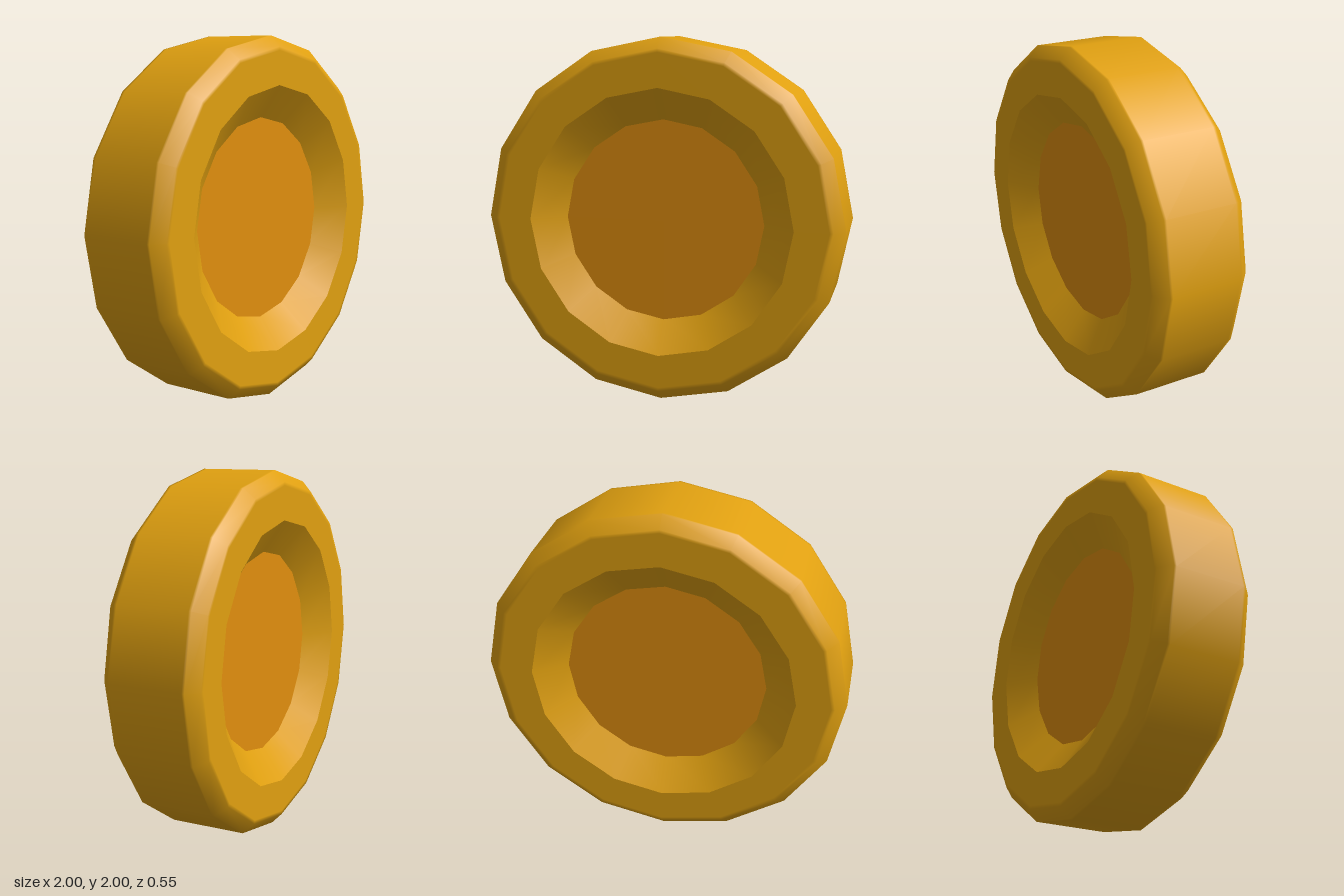
import * as THREE from 'three';

const SIDES = 16;

export function createModel() {
  const gold = new THREE.MeshStandardMaterial({ color: 0xe0a010 });
  gold.name = 'gold';
  const amber = new THREE.MeshStandardMaterial({ color: 0xe08e0e });
  amber.name = 'amber';

  const model = new THREE.Group();
  model.name = 'coin';

  const add = (name, geometry, material) => {
    const mesh = new THREE.Mesh(geometry, material);
    mesh.name = name;
    mesh.position.y = 1;
    model.add(mesh);
    return mesh;
  };

  // Profile points are [radius, z]; the lathe axis is turned to face the front
  const ring = (points) =>
    new THREE.LatheGeometry(points.map(([r, z]) => new THREE.Vector2(r, z)), SIDES).rotateX(Math.PI / 2);

  // Rim: smooth bevelled band with support loops holding the flat faces
  const half = [[1, 0.2], [1, 0.215], [0.94, 0.273], [0.92, 0.273], [0.735, 0.273]];
  const mirrored = half.map(([r, z]) => [r, -z]).reverse();
  add('rim', ring([...mirrored, ...half]), gold);

  // Sloped recess and inset disc on both sides
  for (const [side, turn] of [['front', 0], ['back', Math.PI]]) {
    add(side + 'RecessWall', ring([[0.735, 0.273], [0.56, 0.15]]), gold).rotation.y = turn;
    const disc = new THREE.CircleGeometry(0.56, SIDES).translate(0, 0, 0.15);
    add(side + 'Disc', disc, amber).rotation.y = turn;
  }

  return model;
}
